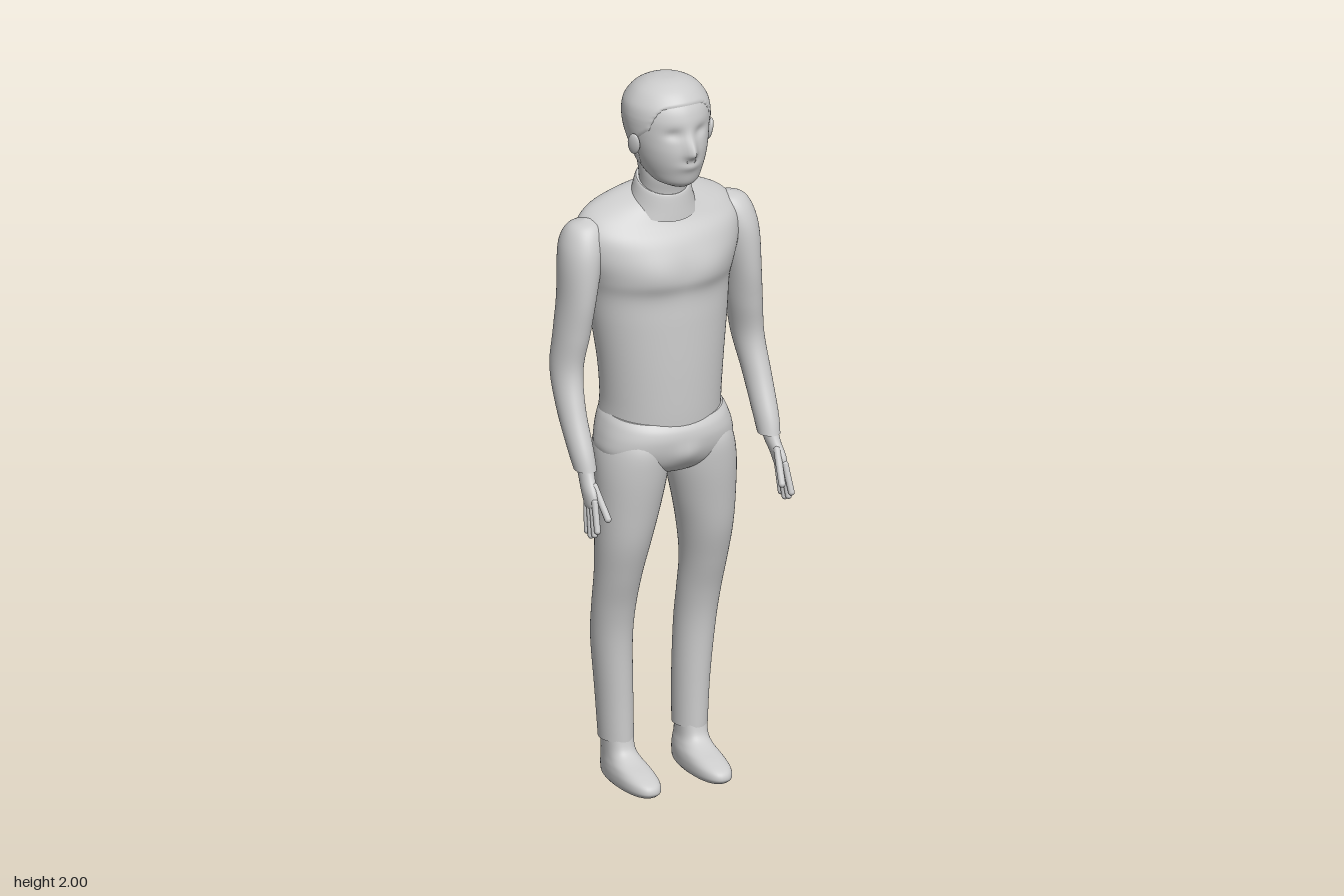
import * as THREE from 'three';

const material = new THREE.MeshStandardMaterial({ color: 0xcccccc, side: THREE.DoubleSide });
const bump = (d, w) => Math.exp(-(d * d) / (w * w));
const step = THREE.MathUtils.smoothstep;

// Catmull-Rom interpolation of one column of a table of rows
function column(rows, k, t) {
  const i = Math.min(Math.floor(t), rows.length - 2), f = t - i;
  const at = (j) => rows[THREE.MathUtils.clamp(j, 0, rows.length - 1)][k] ?? 0;
  const [a, b, c, d] = [at(i - 1), at(i), at(i + 1), at(i + 2)];
  return b + 0.5 * f * (c - a + f * (2 * a - 5 * b + 4 * c - d + f * (3 * (b - c) + d - a)));
}

// Smooth skin through level sections, listed upwards: [y, zFront, zBack, halfWidth, xCentre]
function loft(name, rows, { side = 1, mid = 0.5, nFront = 2, nBack = 2, seg = 48, sub = 6, warp } = {}) {
  const pos = [], index = [], levels = (rows.length - 1) * sub;
  for (let i = 0; i <= levels; i++) {
    const [y, zf, zb, hw, cx] = [0, 1, 2, 3, 4].map((k) => column(rows, k, i / sub));
    const zc = zb + (zf - zb) * mid;
    for (let j = 0; j < seg; j++) {
      const a = (j / seg) * Math.PI * 2, c = Math.cos(a), s = Math.sin(a);
      const e = 2 / (s > 0 ? nFront : nBack);
      const v = new THREE.Vector3(
        side * cx + hw * Math.sign(c) * Math.abs(c) ** e, y,
        zc + (s > 0 ? zf - zc : zc - zb) * Math.sign(s) * Math.abs(s) ** e);
      if (warp) warp(v, s, c);
      pos.push(v.x, v.y, v.z);
      if (i < levels) {
        const p = i * seg + j, q = i * seg + (j + 1) % seg;
        index.push(p, p + seg, q, q, p + seg, q + seg);
      }
    }
  }
  // End caps with their own vertices, so that the rims stay crisp
  for (const [level, flip] of [[0, false], [levels, true]]) {
    const ring = pos.slice(level * seg * 3, (level + 1) * seg * 3), first = pos.length / 3;
    const centre = [0, 0, 0];
    ring.forEach((value, k) => { centre[k % 3] += value / seg; });
    pos.push(...ring, ...centre);
    for (let j = 0; j < seg; j++) {
      const p = first + j, q = first + (j + 1) % seg;
      index.push(first + seg, flip ? q : p, flip ? p : q);
    }
  }
  const geometry = new THREE.BufferGeometry();
  geometry.setAttribute('position', new THREE.Float32BufferAttribute(pos, 3));
  geometry.setIndex(index);
  geometry.computeVertexNormals();
  const mesh = new THREE.Mesh(geometry, material);
  mesh.name = name;
  return mesh;
}

// Rounded rod between two points
function rod(name, from, to, radius) {
  const a = new THREE.Vector3(...from), b = new THREE.Vector3(...to), d = b.clone().sub(a);
  const mesh = new THREE.Mesh(new THREE.CapsuleGeometry(radius, d.length() - radius, 6, 12), material);
  mesh.name = name;
  mesh.position.copy(a).add(b).multiplyScalar(0.5);
  mesh.quaternion.setFromUnitVectors(new THREE.Vector3(0, 1, 0), d.normalize());
  return mesh;
}

const HEAD = [
  [1.715, 0.095, 0.02, 0.03], [1.73, 0.115, -0.03, 0.06], [1.76, 0.125, -0.08, 0.08],
  [1.79, 0.131, -0.098, 0.092], [1.82, 0.132, -0.112, 0.101], [1.85, 0.127, -0.121, 0.109],
  [1.88, 0.123, -0.126, 0.114], [1.91, 0.119, -0.126, 0.115], [1.94, 0.107, -0.118, 0.108],
  [1.97, 0.081, -0.094, 0.086], [1.988, 0.051, -0.064, 0.058], [1.996, 0.025, -0.036, 0.03],
  [1.998, 0.001, -0.012, 0.005]];

// Height of the hair's lower edge as a function of z
const HAIRLINE = [[-0.2, 1.76], [0.01, 1.765], [0.028, 1.85], [0.07, 1.885], [0.085, 1.94], [0.13, 1.957]];
function hairEdge(z) {
  const i = Math.max(1, HAIRLINE.findIndex((p) => p[0] >= z));
  const [a, b] = [HAIRLINE[i - 1], HAIRLINE[i]];
  return THREE.MathUtils.mapLinear(z, a[0], b[0], a[1], b[1]);
}

function createHead() {
  const head = new THREE.Group();
  head.name = 'head';
  const shape = { mid: 0.5, nFront: 1.85, seg: 80 };
  // Face with nose, eye sockets and mouth
  head.add(loft('face', HEAD, { ...shape, warp: (v, s) => {
    if (s <= 0) return;
    const x = Math.abs(v.x);
    v.z += 0.024 * bump(x, 0.016) * bump(v.y - 1.822, v.y > 1.822 ? 0.04 : 0.016)
      - 0.009 * bump(x - 0.04, 0.022) * bump(v.y - 1.872, 0.015)
      + 0.006 * bump(x, 0.03) * bump(v.y - 1.782, 0.012);
  } }));
  // Hair sits just above the skull and sinks under the skin below the hairline
  head.add(loft('hair', HEAD, { ...shape, sub: 10, warp: (v, s, c) => {
    const lift = THREE.MathUtils.clamp((v.y - hairEdge(v.z)) * 0.5, -0.02, 0.003);
    v.x += c * lift;
    v.z += s * lift;
    if (v.y > 1.9) v.y += 0.002;
  } }));
  for (const side of [1, -1]) {
    const ear = new THREE.Mesh(new THREE.SphereGeometry(1, 20, 14), material);
    ear.name = side > 0 ? 'leftEar' : 'rightEar';
    ear.scale.set(0.009, 0.032, 0.019);
    ear.position.set(side * 0.115, 1.835, 0.026);
    ear.rotation.set(0.2, side * -0.45, side * -0.1);
    head.add(ear);
  }
  return head;
}

function createArm(side) {
  const arm = new THREE.Group();
  arm.name = side > 0 ? 'leftArm' : 'rightArm';
  arm.add(loft('sleeve', [
    [0.95, 0.091, 0.018, 0.029, 0.279], [1.0, 0.075, -0.01, 0.033, 0.281], [1.1, 0.03, -0.065, 0.037, 0.282],
    [1.2, 0.0, -0.109, 0.042, 0.275], [1.3, 0.012, -0.112, 0.046, 0.262], [1.4, 0.025, -0.113, 0.048, 0.251],
    [1.5, 0.025, -0.12, 0.056, 0.24], [1.56, 0.012, -0.122, 0.057, 0.229], [1.6, -0.012, -0.1, 0.045, 0.218],
    [1.615, -0.045, -0.06, 0.012, 0.21]], { side }));
  // Hand
  const hand = new THREE.Group();
  hand.name = 'hand';
  hand.add(loft('palm', [
    [0.86, 0.125, 0.078, 0.01, 0.29], [0.872, 0.132, 0.07, 0.013, 0.289], [0.9, 0.124, 0.055, 0.016, 0.287],
    [0.935, 0.098, 0.036, 0.019, 0.282], [0.975, 0.078, 0.02, 0.022, 0.28]], { side, seg: 24 }));
  const fingers = [[0.124, 0.151, 0.803], [0.109, 0.135, 0.788], [0.094, 0.115, 0.78], [0.079, 0.094, 0.787]];
  fingers.forEach(([base, tip, y], i) => hand.add(
    rod('finger' + (i + 1), [side * 0.289, 0.885, base], [side * 0.295, y, tip], 0.0088)));
  hand.add(rod('thumb', [side * 0.278, 0.92, 0.1], [side * 0.264, 0.833, 0.155], 0.0095));
  arm.add(hand);
  return arm;
}

function createLeg(side) {
  const leg = new THREE.Group();
  leg.name = side > 0 ? 'leftLeg' : 'rightLeg';
  leg.add(loft('trouserLeg', [
    [0.115, -0.02, -0.135, 0.045, 0.112], [0.25, -0.02, -0.14, 0.049, 0.117], [0.4, -0.014, -0.138, 0.055, 0.126],
    [0.5, 0.003, -0.12, 0.059, 0.129], [0.6, 0.034, -0.102, 0.064, 0.129], [0.7, 0.064, -0.098, 0.075, 0.124],
    [0.8, 0.082, -0.098, 0.087, 0.114], [0.9, 0.096, -0.116, 0.097, 0.104], [0.97, 0.098, -0.145, 0.093, 0.099],
    [1.02, 0.08, -0.13, 0.075, 0.094]], { side }));
  leg.add(loft('foot', [
    [0, 0.112, -0.132, 0.04, 0.108], [0.012, 0.124, -0.142, 0.049, 0.108], [0.032, 0.115, -0.144, 0.05, 0.108],
    [0.05, 0.075, -0.142, 0.047, 0.108], [0.068, 0.02, -0.138, 0.042, 0.109], [0.09, -0.012, -0.132, 0.039, 0.111],
    [0.13, -0.024, -0.13, 0.039, 0.112]], { side, nFront: 2.4, mid: 0.55 }));
  return leg;
}

export function createModel() {
  const model = new THREE.Group();
  model.name = 'standingMan';
  model.add(createHead());
  model.add(loft('neck', [
    [1.62, 0.035, -0.085, 0.068], [1.68, 0.042, -0.083, 0.065], [1.73, 0.05, -0.085, 0.068],
    [1.79, 0.03, -0.09, 0.075]]));
  // Stand-up collar, higher at the nape
  model.add(loft('collar', [
    [1.635, 0.055, -0.1, 0.095], [1.66, 0.052, -0.1, 0.086], [1.7, 0.046, -0.093, 0.075],
    [1.702, 0.04, -0.087, 0.069]], { sub: 4, warp: (v) => { v.y -= 0.38 * (v.z + 0.03); } }));
  // Shirt with chest muscles, spine furrow and raised shoulder line at the back
  model.add(loft('shirt', [
    [1.045, 0.103, -0.15, 0.17], [1.1, 0.105, -0.143, 0.17], [1.2, 0.105, -0.142, 0.178],
    [1.32, 0.102, -0.155, 0.194], [1.4, 0.099, -0.162, 0.203], [1.45, 0.108, -0.165, 0.214],
    [1.51, 0.1, -0.166, 0.233], [1.57, 0.075, -0.16, 0.239], [1.61, 0.05, -0.145, 0.212],
    [1.64, 0.035, -0.12, 0.15], [1.665, 0.025, -0.095, 0.08]], { mid: 0.42, nBack: 2.3, seg: 72, warp: (v, s) => {
    const x = Math.abs(v.x);
    v.y -= 0.33 * (v.z + 0.03) * step(v.y, 1.54, 1.66) + 0.16 * v.z * (1 - step(v.y, 1.05, 1.2));
    if (s > 0) v.z += 0.009 * s * bump(x - 0.085, 0.07) * bump(v.y - 1.47, 0.05);
    else v.z += 0.014 * bump(x, 0.03) * bump(v.y - 1.36, 0.2);
  } }));
  // Seat of the trousers
  model.add(loft('hips', [
    [0.885, 0.025, -0.05, 0.025], [0.9, 0.07, -0.09, 0.09], [0.925, 0.095, -0.122, 0.165],
    [0.96, 0.11, -0.145, 0.193], [1.0, 0.116, -0.156, 0.19], [1.04, 0.112, -0.156, 0.177],
    [1.06, 0.098, -0.147, 0.166]], { nFront: 2.2, nBack: 2.4, seg: 64, warp: (v, s) => {
    if (s > 0) v.z += 0.01 * bump(v.x, 0.035) * bump(v.y - 0.955, 0.03);
    else v.z += 0.022 * bump(v.x, 0.022) * bump(v.y - 0.95, 0.05);
    v.y -= 0.16 * v.z * step(v.y, 0.98, 1.05);
  } }));
  for (const side of [1, -1]) model.add(createArm(side), createLeg(side));
  return model;
}
